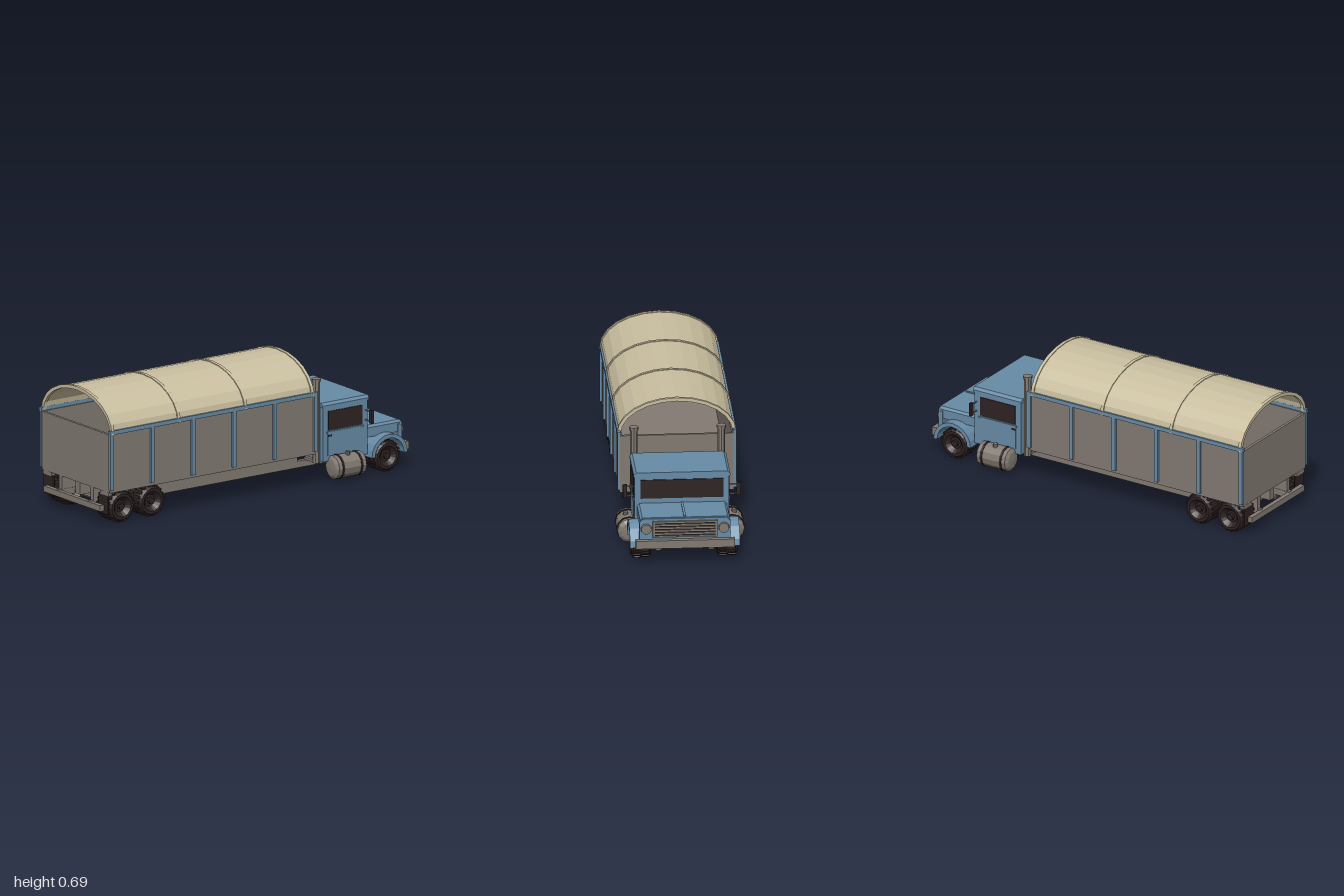
import * as THREE from 'three';

export function createModel() {
  const truck = new THREE.Group();
  truck.name = 'coveredTruck';
  const mat = (name, color) => {
    const m = new THREE.MeshStandardMaterial({ color });
    m.name = name;
    return m;
  };
  const blue = mat('blue paint', 0x678ba6);
  const grey = mat('warm grey metal', 0x827a72);
  const cream = mat('cream canvas', 0xc9be9f);
  const dark = mat('dark rubber and glass', 0x2e2223);

  // Helpers
  const add = (name, geo, m, x = 0, y = 0, z = 0, parent = truck) => {
    const mesh = new THREE.Mesh(geo, m);
    mesh.name = name;
    mesh.position.set(x, y, z);
    parent.add(mesh);
    return mesh;
  };
  // Box given by its minimum and maximum along each axis
  const box = (name, m, x0, x1, y0, y1, z0, z1, parent = truck) =>
    add(name, new THREE.BoxGeometry(x1 - x0, y1 - y0, z1 - z0), m,
      (x0 + x1) / 2, (y0 + y1) / 2, (z0 + z1) / 2, parent);
  // The same box on both sides
  const pair = (name, m, x0, x1, ...rest) => {
    box(name, m, x0, x1, ...rest);
    box(name, m, -x1, -x0, ...rest);
  };
  const faceted = (geo) => {
    const g = geo.index ? geo.toNonIndexed() : geo;
    g.computeVertexNormals();
    return g;
  };
  const extrude = (pts, depth) => new THREE.ExtrudeGeometry(
    new THREE.Shape(pts.map(([x, y]) => new THREE.Vector2(x, y))), { depth, bevelEnabled: false });
  // Cross-section facing z, with chamfered upper corners
  const chamferBlock = (name, w, y0, y1, c, z0, z1) => add(name, extrude(
    [[-w, y0], [w, y0], [w, y1 - c], [w - c, y1], [c - w, y1], [-w, y1 - c]], z1 - z0), blue, 0, 0, z0);
  // Band between two half ellipses, in straight segments
  const arch = (rx, ry, t, depth, segs) => {
    const outer = [], inner = [];
    for (let i = 0; i <= segs; i++) {
      const a = Math.PI * i / segs, c = Math.cos(a), s = Math.sin(a);
      outer.push([rx * c, ry * s]);
      inner.unshift([(rx - t) * c, (ry - t) * s]);
    }
    return extrude([...outer, ...inner], depth);
  };

  // Chassis
  pair('chassisRail', grey, 0.125, 0.153, 0.075, 0.11, -0.96, 0.985);
  pair('bedRail', grey, 0.127, 0.153, 0.11, 0.185, -0.355, 0.97);
  box('centreBeam', grey, -0.02, 0.02, 0.11, 0.185, -0.35, 0.96);
  box('rearBumper', grey, -0.25, 0.25, 0.075, 0.107, 0.975, 1);
  for (const z of [0.6, 0.78]) box('crossMember', grey, -0.13, 0.13, 0.08, 0.105, z - 0.012, z + 0.012);
  pair('flapBracket', grey, 0.215, 0.29, 0.162, 0.182, 0.95, 0.975);
  pair('mudFlap', dark, 0.2, 0.285, 0.06, 0.165, 0.966, 0.974);

  // Open cargo bed
  box('bedFloor', grey, -0.3, 0.3, 0.18, 0.2, -0.36, 0.97);
  pair('bedSide', grey, 0.288, 0.3, 0.19, 0.5, -0.36, 0.97);
  box('tailgate', grey, -0.3, 0.3, 0.182, 0.497, 0.958, 0.974);
  box('headboard', grey, -0.3, 0.3, 0.182, 0.497, -0.364, -0.348);
  pair('topRail', blue, 0.295, 0.313, 0.498, 0.52, -0.372, 0.982);
  for (let i = 0; i < 6; i++) {
    const z = -0.36 + i * 0.2655;
    pair('bedPost', blue, 0.298, 0.313, 0.197, 0.5, z - 0.011, z + 0.011);
  }

  // Canvas cover and its hoops
  add('canvasCover', arch(0.307, 0.192, 0.007, 1.31, 12), cream, 0, 0.5, -0.345);
  for (const z of [-0.345, 0.09, 0.522, 0.953]) {
    add('coverHoop', arch(0.314, 0.197, 0.019, 0.018, 12), cream, 0, 0.499, z - 0.002);
  }

  // Cab
  chamferBlock('cabBody', 0.248, 0.11, 0.415, 0.012, -0.74, -0.45);
  chamferBlock('cabRoof', 0.254, 0.405, 0.43, 0.014, -0.747, -0.445);
  pair('sideWindow', dark, 0.246, 0.252, 0.278, 0.382, -0.705, -0.485);
  pair('doorHandle', dark, 0.247, 0.256, 0.245, 0.253, -0.505, -0.48);
  box('windscreen', dark, -0.218, 0.218, 0.285, 0.388, -0.745, -0.738);
  pair('windowLedge', blue, 0.247, 0.256, 0.262, 0.272, -0.71, -0.475);
  pair('doorFront', blue, 0.247, 0.252, 0.14, 0.275, -0.7, -0.48);

  // Bonnet and nose
  chamferBlock('bonnet', 0.236, 0.195, 0.258, 0.012, -0.96, -0.735);
  box('bonnetRidge', blue, -0.006, 0.006, 0.257, 0.263, -0.955, -0.745);
  box('engineBay', blue, -0.165, 0.165, 0.11, 0.197, -0.955, -0.735);
  chamferBlock('nosePanel', 0.24, 0.135, 0.255, 0.02, -0.972, -0.945);
  box('grilleBack', dark, -0.165, 0.165, 0.158, 0.238, -0.977, -0.97);
  for (let i = 0; i < 6; i++) {
    const y = 0.158 + i * 0.016;
    box('grilleBar', grey, -0.165, 0.165, y - 0.004, y + 0.004, -0.983, -0.972);
  }
  pair('grilleFrame', grey, 0.16, 0.17, 0.153, 0.243, -0.984, -0.971);
  box('frontBumper', grey, -0.26, 0.26, 0.098, 0.142, -1, -0.972);
  pair('bumperMount', grey, 0.11, 0.14, 0.1, 0.14, -0.975, -0.94);

  // Wheel: tyre with sunken hub, and tread blocks
  const profile = [[0.001, -0.3], [0.032, -0.3], [0.04, -0.38], [0.055, -0.5], [0.07, -0.5], [0.081, -0.36],
    [0.081, 0.36], [0.07, 0.5], [0.055, 0.5], [0.04, 0.38], [0.032, 0.3], [0.001, 0.3]];
  const wheel = (name, x, z, width) => {
    const g = new THREE.Group();
    g.name = name;
    g.position.set(x, 0.087, z);
    const tyre = new THREE.LatheGeometry(profile.map(([r, y]) => new THREE.Vector2(r, y * width)), 18);
    add('tyre', faceted(tyre.rotateZ(Math.PI / 2)), dark, 0, 0, 0, g);
    add('hub', faceted(new THREE.CylinderGeometry(0.018, 0.018, width * 0.9, 8).rotateZ(Math.PI / 2)), dark, 0, 0, 0, g);
    for (let i = 0; i < 18; i++) {
      for (const s of [-1, 1]) {
        const a = (i + (s > 0 ? 0.5 : 0)) * Math.PI / 9;
        const lug = add('treadBlock', new THREE.BoxGeometry(width * 0.36, 0.012, 0.013), dark,
          s * width * 0.22, 0.08 * Math.cos(a), 0.08 * Math.sin(a), g);
        lug.rotation.x = a;
      }
    }
    truck.add(g);
  };
  for (const [z, half] of [[-0.85, 0.225], [0.68, 0.215], [0.875, 0.215]]) {
    add('axle', faceted(new THREE.CylinderGeometry(0.014, 0.014, half * 2, 8).rotateZ(Math.PI / 2)), grey, 0, 0.087, z);
  }

  // Parts mirrored on left and right
  for (const s of [-1, 1]) {
    wheel('frontWheel', s * 0.227, -0.85, 0.105);
    wheel('rearWheel', s * 0.215, 0.68, 0.13);
    wheel('rearWheel', s * 0.215, 0.875, 0.13);

    // Front mudguard
    const guard = arch(0.116, 0.114, 0.022, 0.12, 10);
    guard.rotateY(-Math.PI / 2).translate(0.06, 0, 0);
    add('frontFender', guard, blue, s * 0.229, 0.094, -0.855);

    // Headlight
    const lamp = new THREE.CylinderGeometry(0.027, 0.03, 0.016, 12).rotateX(-Math.PI / 2);
    add('headlight', faceted(lamp), grey, s * 0.204, 0.2, -0.977);

    // Fuel tank with straps and cap
    const tank = new THREE.LatheGeometry([[0, -0.104], [0.045, -0.1], [0.064, -0.088], [0.064, 0.088],
      [0.045, 0.1], [0, 0.104]].map(([r, y]) => new THREE.Vector2(r, y)), 12).rotateX(Math.PI / 2);
    add('fuelTank', faceted(tank), grey, s * 0.27, 0.081, -0.585);
    for (const z of [-0.645, -0.525]) {
      const strap = new THREE.CylinderGeometry(0.0675, 0.0675, 0.012, 12).rotateX(Math.PI / 2);
      add('tankStrap', faceted(strap), dark, s * 0.27, 0.081, z);
    }
    add('tankCap', faceted(new THREE.CylinderGeometry(0.013, 0.013, 0.02, 8)), grey, s * 0.285, 0.148, -0.585);

    // Exhaust stack with collar
    add('exhaustStack', faceted(new THREE.CylinderGeometry(0.02, 0.02, 0.45, 8)), grey, s * 0.23, 0.335, -0.42);
    add('stackCollar', faceted(new THREE.CylinderGeometry(0.025, 0.025, 0.016, 8)), grey, s * 0.23, 0.559, -0.42);
    box('stackMount', grey, s * 0.19 - 0.05, s * 0.19 + 0.05, 0.11, 0.125, -0.432, -0.408);

    // Door mirror on two arms
    for (const y of [0.298, 0.35]) box('mirrorArm', grey, s * 0.273 - 0.028, s * 0.273 + 0.028, y - 0.003, y + 0.003, -0.731, -0.725);
    box('mirror', dark, s * 0.299 - 0.011, s * 0.299 + 0.011, 0.288, 0.36, -0.736, -0.722);
  }
  return truck;
}
